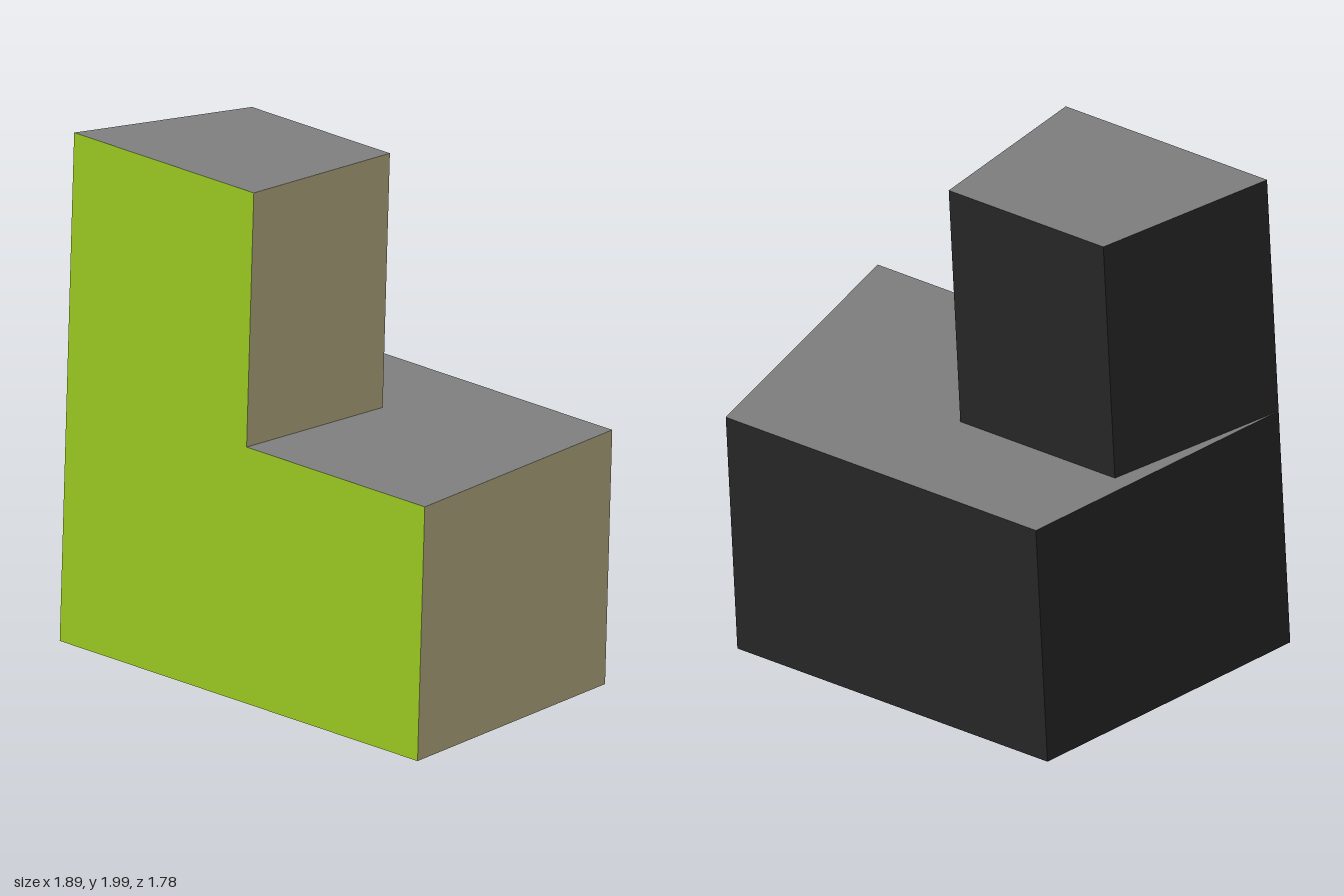
import * as THREE from 'three';

const flat = (name, color) => {
  const m = new THREE.MeshStandardMaterial({ color });
  m.name = name;
  return m;
};

// Upright four-sided prism. Plan corners run front left, front right, back right, back left.
// Material groups: front, right, back, left, top, bottom.
function prism(name, plan, y0, y1, materials) {
  const low = plan.map(([x, z]) => [x, y0, z]);
  const high = plan.map(([x, z]) => [x, y1, z]);
  const quads = plan.map((_, i) => {
    const j = (i + 1) % 4;
    return [low[i], low[j], high[j], high[i]];
  });
  quads.push(high, [...low].reverse());

  const geometry = new THREE.BufferGeometry();
  const positions = quads.flatMap(([a, b, c, d]) => [a, b, c, a, c, d].flat());
  geometry.setAttribute('position', new THREE.Float32BufferAttribute(positions, 3));
  geometry.computeVertexNormals();
  quads.forEach((_, i) => geometry.addGroup(i * 6, 6, i));

  const mesh = new THREE.Mesh(geometry, materials);
  mesh.name = name;
  return mesh;
}

export function createModel() {
  const green = flat('green', 0x9dcb22);
  const tan = flat('tan', 0xbbb087);
  const black = flat('black', 0x242424);
  const grey = flat('grey', 0x7e7e7e);
  const faces = [green, tan, black, black, grey, grey];

  // Both blocks share one flush front face and front left edge
  const blocks = new THREE.Group();
  blocks.name = 'tiltedBlocks';
  const lower = [[0, 0], [1.727, 0], [1.494, -1.089], [0.158, -1.089]];
  const upper = [[0, 0], [0.867, 0], [0.83, -0.664], [0.164, -0.664]];
  blocks.add(prism('lowerBlock', lower, 0, 0.888, faces));
  blocks.add(prism('upperBlock', upper, 0.888, 1.776, faces));

  // Tilt: local x follows the front bottom edge, local y the upright edges
  const x = new THREE.Vector3(1.525, -0.2, 0.785).normalize();
  const z = new THREE.Vector3().crossVectors(x, new THREE.Vector3(0.06, 0.88, 0.105)).normalize();
  const y = new THREE.Vector3().crossVectors(z, x);
  blocks.quaternion.setFromRotationMatrix(new THREE.Matrix4().makeBasis(x, y, z));
  blocks.position.set(-0.943, 0.2, 0);

  const model = new THREE.Group();
  model.name = 'steppedBlocks';
  model.add(blocks);
  return model;
}
